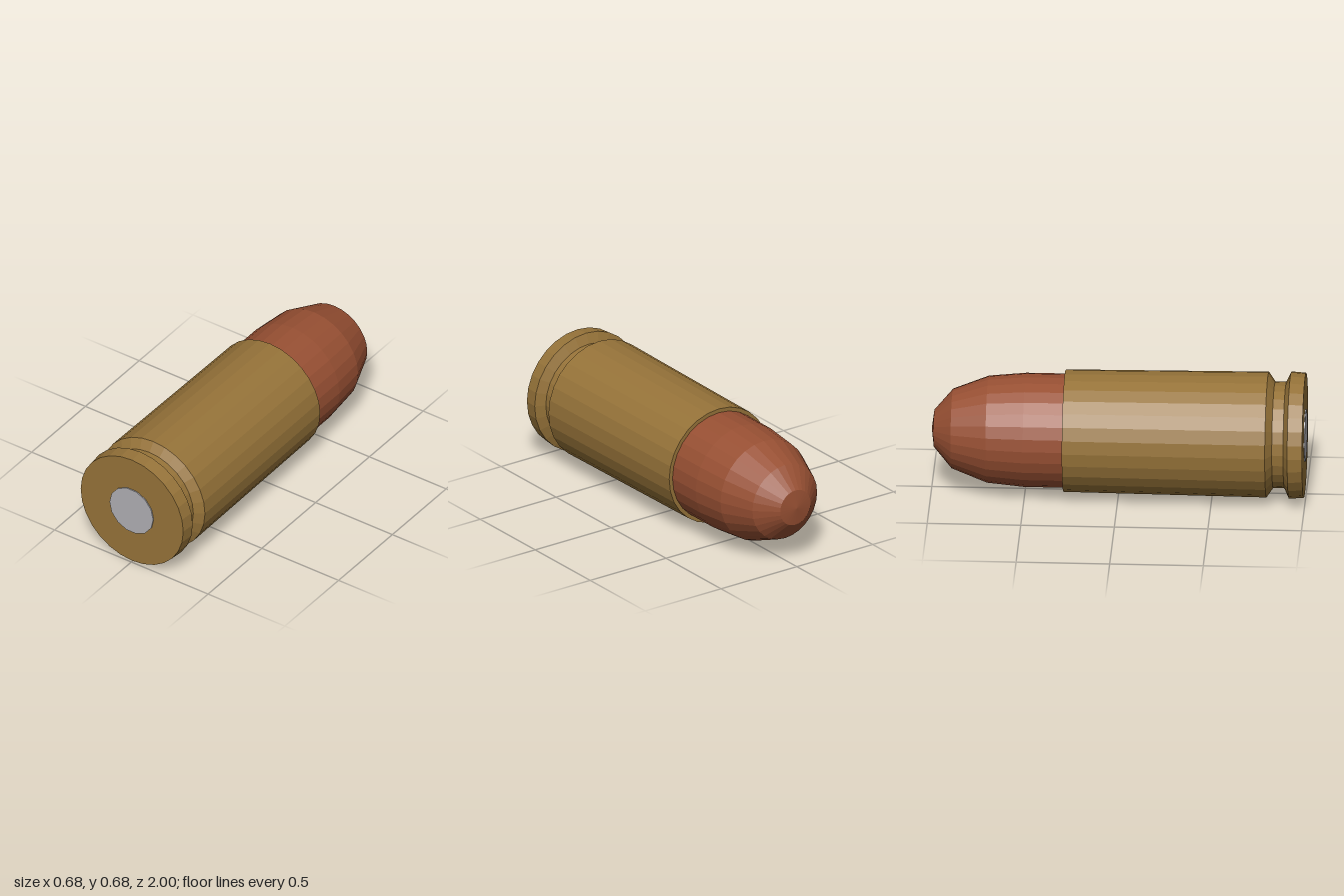
import * as THREE from 'three';

const mat = (name, color) => {
  const m = new THREE.MeshStandardMaterial({ color, flatShading: true });
  m.name = name;
  return m;
};

// Faceted solid of revolution along z; points are [radius, z] from back to front
function turned(name, points, sides, material, start = 0) {
  const profile = points.map(([r, z]) => new THREE.Vector2(r, z));
  const geometry = new THREE.LatheGeometry(profile, sides, start);
  geometry.rotateX(Math.PI / 2);
  const mesh = new THREE.Mesh(geometry, material);
  mesh.name = name;
  mesh.position.y = 0.34;
  return mesh;
}

export function createModel() {
  const brass = mat('brass', 0x967339);
  const copper = mat('copper', 0x985033);
  const steel = mat('steel', 0xb0afb4);

  const model = new THREE.Group();
  model.name = 'cartridge';

  // Rounded nose, seated slightly inside the casing
  model.add(turned('nose', [
    [0, -1], [0.1, -0.987], [0.213, -0.89], [0.286, -0.7], [0.305, -0.5], [0.305, -0.25],
  ], 28, copper));

  // Casing with mouth lip, groove, rim and flat base
  model.add(turned('casing', [
    [0.29, -0.29], [0.327, -0.29], [0.336, 0.795], [0.285, 0.83],
    [0.285, 0.89], [0.34, 0.915], [0.334, 0.994], [0, 0.994],
  ], 28, brass));

  // Small round disc set in the base
  model.add(turned('baseDisc', [
    [0.142, 0.992], [0.142, 1], [0, 1],
  ], 14, steel, Math.PI / 2));

  return model;
}
